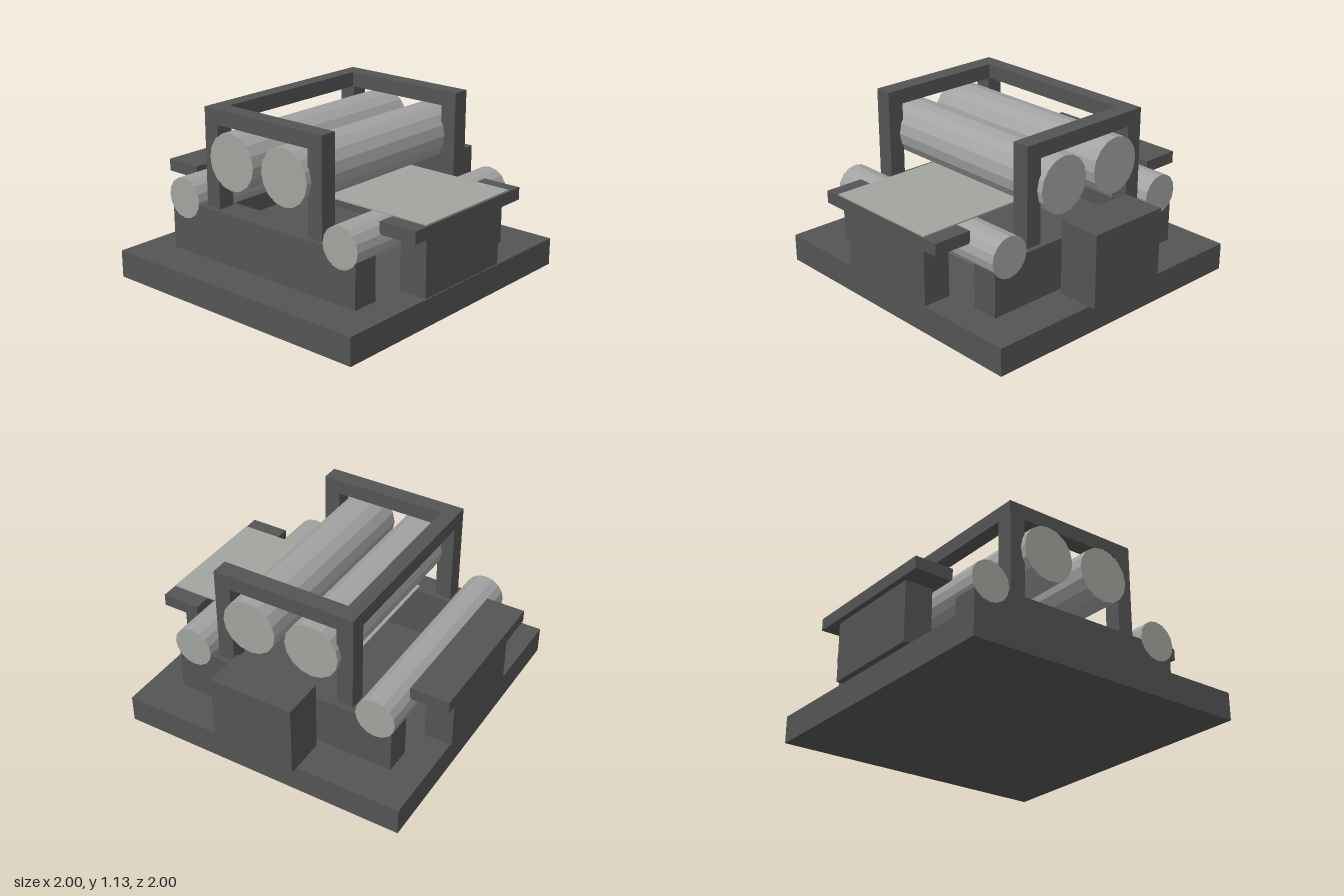
import * as THREE from 'three';

const frameGrey = new THREE.MeshStandardMaterial({ color: 0x545454, name: 'dark grey' });
const rollerGrey = new THREE.MeshStandardMaterial({ color: 0xa2a2a2, name: 'roller grey', flatShading: true });
const sheetGrey = new THREE.MeshStandardMaterial({ color: 0xa1a49f, name: 'pale sheet grey' });

const MID = -0.026; // centre line of the machine, offset by the drive box

export function createModel() {
  const model = new THREE.Group();
  model.name = 'rollerMill';

  // Box given by its limits on each axis
  const box = (name, [x0, x1], [y0, y1], [z0, z1], material = frameGrey) => {
    const mesh = new THREE.Mesh(new THREE.BoxGeometry(x1 - x0, y1 - y0, z1 - z0), material);
    mesh.position.set((x0 + x1) / 2, (y0 + y1) / 2, (z0 + z1) / 2);
    mesh.name = name;
    model.add(mesh);
  };

  // Roller lying along x, with pale end caps
  const roller = (name, radius, y, z) => {
    const geometry = new THREE.CylinderGeometry(radius, radius, 1.42, 16).rotateZ(Math.PI / 2);
    const mesh = new THREE.Mesh(geometry, [rollerGrey, sheetGrey, sheetGrey]);
    mesh.position.set(MID, y, z);
    mesh.name = name;
    model.add(mesh);
  };

  // Base and drive box
  box('basePlate', [-1, 0.946], [0, 0.176], [-0.946, 0.946]);
  box('driveBox', [0.73, 1], [0.185, 0.65], [-0.272, 0.272]);

  // Side rails and the frame standing on them
  for (const s of [-1, 1]) {
    const side = s > 0 ? 'left' : 'right';
    const span = (inner, outer) => [MID + s * inner, MID + s * outer].sort((a, b) => a - b);
    box(side + 'Rail', span(0.53, 0.705), [0.176, 0.505], [-0.745, 0.745]);
    box(side + 'FrontPost', span(0.56, 0.672), [0.505, 1.035], [0.362, 0.468]);
    box(side + 'BackPost', span(0.56, 0.672), [0.505, 1.035], [-0.468, -0.362]);
    box(side + 'TopBeam', span(0.56, 0.672), [1.035, 1.13], [-0.468, 0.468]);
  }
  box('backCrossBeam', [MID - 0.56, MID + 0.56], [1.035, 1.13], [-0.468, -0.37]);

  // Rollers, tables and table supports at both ends
  for (const s of [-1, 1]) {
    const end = s > 0 ? 'front' : 'back';
    const span = (inner, outer) => [s * inner, s * outer].sort((a, b) => a - b);
    roller(end + 'PressRoller', 0.179, 0.841, s * 0.212);
    roller(end + 'GuideRoller', 0.13, 0.525, s * 0.637);
    box(end + 'Table', [MID - 0.502, MID + 0.502], [0.575, 0.653], span(0.748, 1));
    box(end + 'TableSupport', [MID - 0.353, MID + 0.353], [0.195, 0.575], span(0.782, 0.964));
  }

  // Sheet being fed in over the front table
  box('sheet', [MID - 0.395, MID + 0.395], [0.655, 0.663], [-0.33, 0.995], sheetGrey);

  return model;
}
